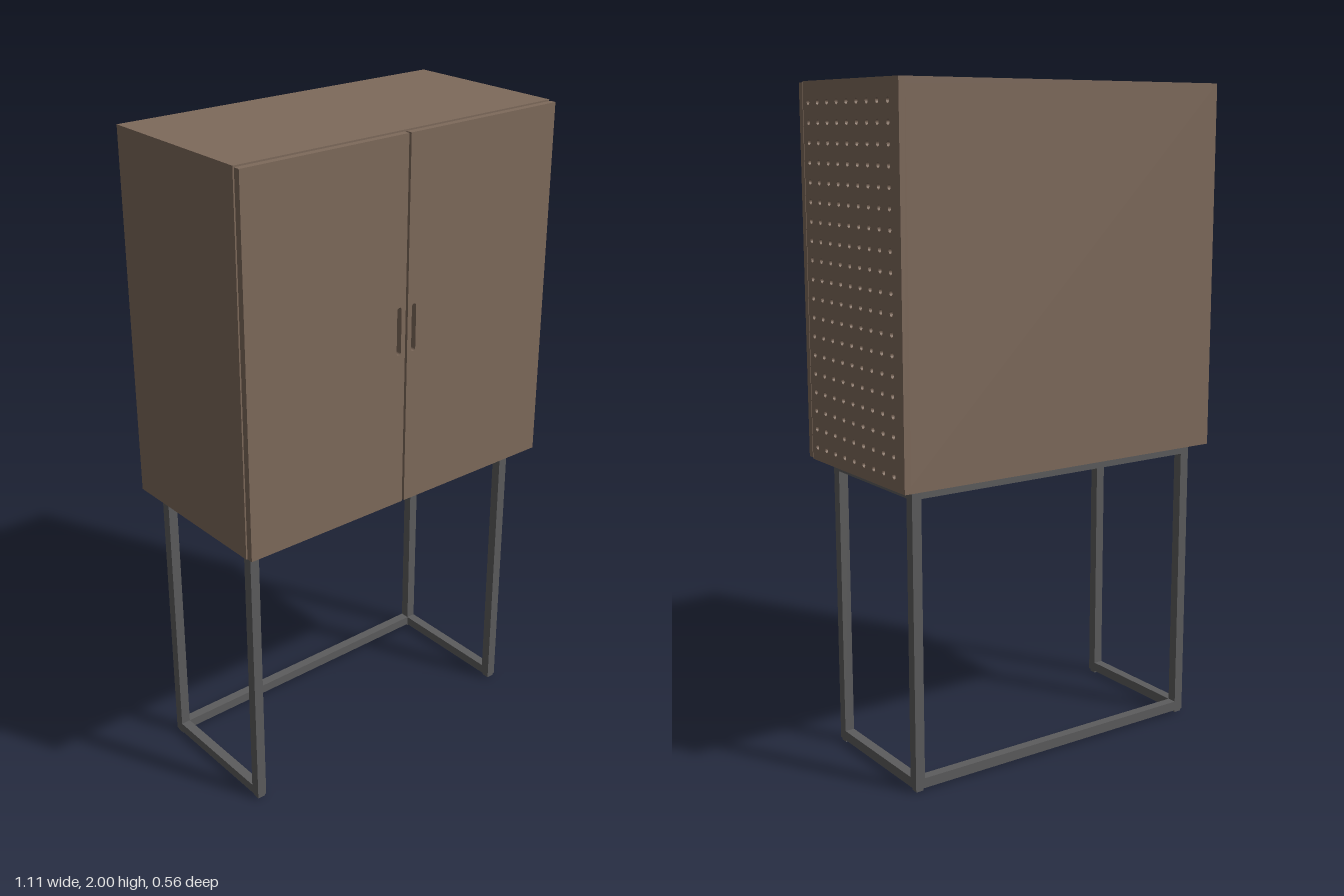
import * as THREE from 'three';

const W = 0.553, Y0 = 0.897, Y1 = 2, ZB = -0.278, ZF = 0.253, T = 0.02;

export function createModel() {
  const model = new THREE.Group();
  const wood = new THREE.MeshStandardMaterial({ color: 0x7e6a5b });
  wood.name = 'brown panel';
  const metal = new THREE.MeshStandardMaterial({ color: 0x5c5c5d });
  metal.name = 'grey steel';

  const add = (parent, name, geometry, material) => {
    const mesh = new THREE.Mesh(geometry, material);
    mesh.name = name;
    parent.add(mesh);
    return mesh;
  };
  // Box given by its low and high corners
  const box = (parent, name, material, [x0, y0, z0], [x1, y1, z1]) => {
    const g = new THREE.BoxGeometry(x1 - x0, y1 - y0, z1 - z0);
    g.translate((x0 + x1) / 2, (y0 + y1) / 2, (z0 + z1) / 2);
    return add(parent, name, g, material);
  };
  const rect = (x0, y0, x1, y1) => new THREE.Shape([
    new THREE.Vector2(x0, y0), new THREE.Vector2(x1, y0),
    new THREE.Vector2(x1, y1), new THREE.Vector2(x0, y1),
  ]);

  // Hollow cabinet case
  const cabinet = new THREE.Group();
  cabinet.name = 'cabinet';
  model.add(cabinet);
  box(cabinet, 'rightPanel', wood, [-W, Y0, ZB], [-W + T, Y1, ZF]);
  box(cabinet, 'topPanel', wood, [-W + T, Y1 - T, ZB], [W - T, Y1, ZF]);
  box(cabinet, 'bottomPanel', wood, [-W + T, Y0, ZB], [W - T, Y0 + T, ZF]);
  box(cabinet, 'backPanel', wood, [-W + T, Y0 + T, ZB], [W - T, Y1 - T, ZB + T]);

  // Perforated side panel, drawn flat and then turned to face +x
  const side = rect(-ZF, Y0, -ZB, Y1);
  for (let row = 0; row < 19; row++) {
    for (let col = -4; col <= 4; col++) {
      const hole = new THREE.Path();
      hole.absarc(col * 0.0556, 0.938 + row * 0.0557, 0.008, 0, Math.PI * 2, true);
      side.holes.push(hole);
    }
  }
  const sideGeometry = new THREE.ExtrudeGeometry(side, { depth: T, bevelEnabled: false, curveSegments: 10 });
  sideGeometry.rotateY(Math.PI / 2).translate(W - T, 0, 0);
  add(cabinet, 'perforatedLeftPanel', sideGeometry, wood);

  // Doors with a pill-shaped finger slot and an inner stiffener
  for (const s of [-1, 1]) {
    const door = new THREE.Group();
    door.name = s > 0 ? 'leftDoor' : 'rightDoor';
    model.add(door);
    const xs = [s * 0.004, s * 0.552].sort((a, b) => a - b);
    const panel = rect(xs[0], Y0 + 0.003, xs[1], Y1 - 0.003);
    const slot = new THREE.Path();
    slot.absarc(s * 0.027, 1.507, 0.008, 0, Math.PI, false);
    slot.absarc(s * 0.027, 1.38, 0.008, Math.PI, Math.PI * 2, false);
    slot.closePath();
    panel.holes.push(slot);
    const g = new THREE.ExtrudeGeometry(panel, { depth: 0.02, bevelEnabled: false, curveSegments: 8 });
    add(door, 'doorPanel', g.translate(0, 0, 0.258), wood);
    const ps = [s * 0.055, s * 0.5].sort((a, b) => a - b);
    box(door, 'doorStiffener', wood, [ps[0], 0.95, 0.25], [ps[1], 1.95, 0.258]);
  }

  // Square-tube stand, open at the front of the floor
  const stand = new THREE.Group();
  stand.name = 'stand';
  model.add(stand);
  const X = 0.508, B = 0.03, zf = 0.208, zb = -0.24, low = 0.008;
  for (const s of [-1, 1]) {
    const [x0, x1] = s > 0 ? [X - B, X] : [-X, -X + B];
    for (const z of [zf - B, zb]) {
      box(stand, 'leg', metal, [x0, low, z], [x1, Y0, z + B]);
      box(stand, 'foot', metal, [x0 + 0.003, 0, z + 0.003], [x1 - 0.003, low, z + B - 0.003]);
    }
    box(stand, 'sideFloorRail', metal, [x0, low, zb + B], [x1, low + B, zf - B]);
    box(stand, 'sideTopRail', metal, [x0, Y0 - B, zb + B], [x1, Y0, zf - B]);
  }
  box(stand, 'backFloorRail', metal, [-X + B, low, zb], [X - B, low + B, zb + B]);
  box(stand, 'backTopRail', metal, [-X + B, Y0 - B, zb], [X - B, Y0, zb + B]);
  box(stand, 'frontTopRail', metal, [-X + B, Y0 - B, zf - B], [X - B, Y0, zf]);

  return model;
}
